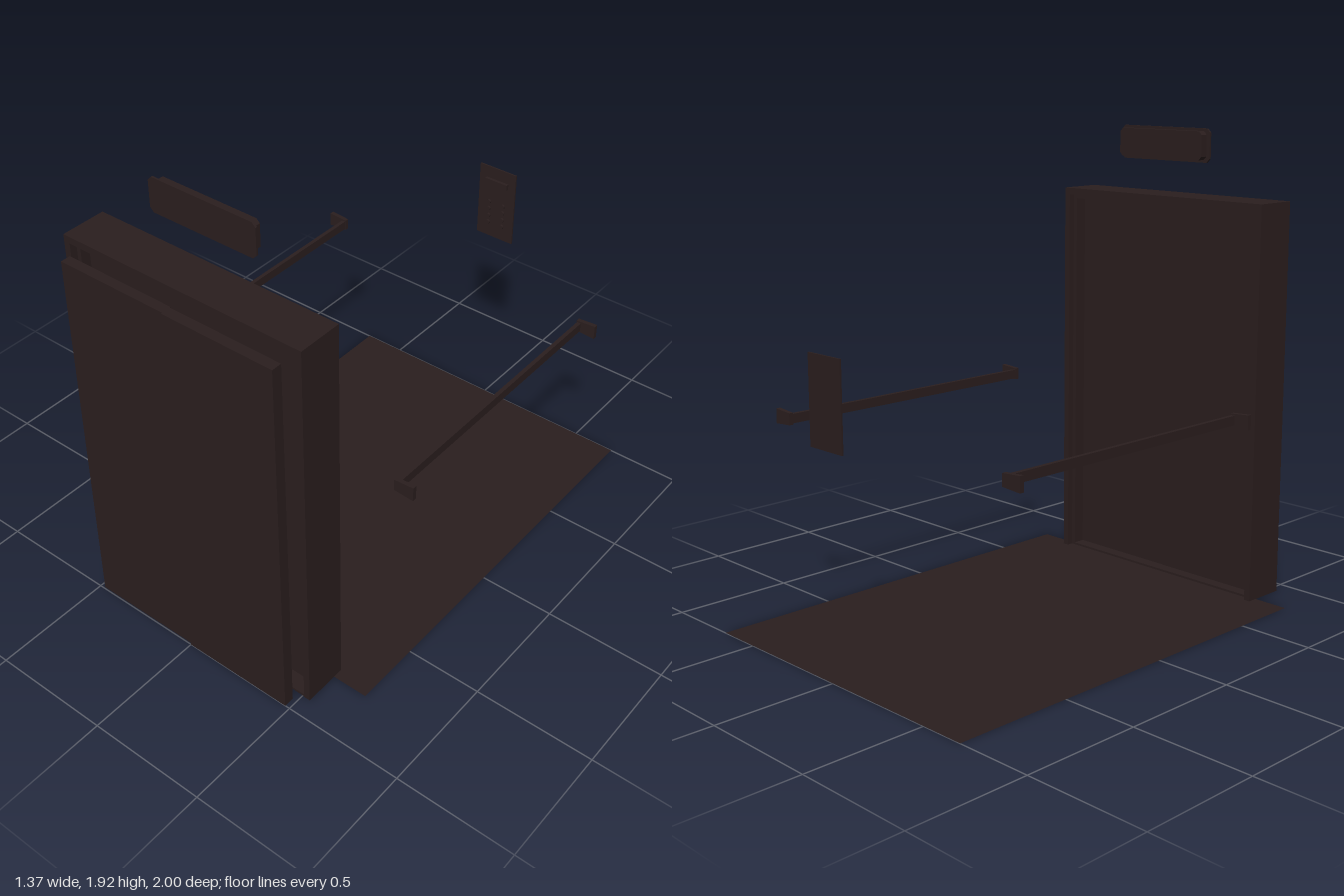
import * as THREE from 'three';

export function createModel() {
  const model = new THREE.Group();
  model.name = 'elevatorCabin';
  const dark = new THREE.MeshStandardMaterial({ color: 0x2a1e1e, side: THREE.DoubleSide });
  dark.name = 'dark brown';

  const add = (name, geo, parent = model) => {
    const mesh = new THREE.Mesh(geo, dark);
    mesh.name = name;
    parent.add(mesh);
    return mesh;
  };
  // box given by its limits on each axis
  const box = (name, x0, x1, y0, y1, z0, z1, parent) => {
    const m = add(name, new THREE.BoxGeometry(x1 - x0, y1 - y0, z1 - z0), parent);
    m.position.set((x0 + x1) / 2, (y0 + y1) / 2, (z0 + z1) / 2);
    return m;
  };
  const polygon = (pts) => new THREE.Shape(pts.map((p) => new THREE.Vector2(...p)));
  const extrude = (shape, depth) => new THREE.ExtrudeGeometry(shape, { depth, bevelEnabled: false });

  // floor sheet
  const floor = add('floor', new THREE.PlaneGeometry(1.37, 1.78).rotateX(-Math.PI / 2));
  floor.position.set(0, 0.001, -0.11);

  // door frame: outer casing, stepped inner lip and sill
  const arch = (name, w, h, iw, ih, z0, z1) => {
    const s = polygon([[-w, 0], [-iw, 0], [-iw, ih], [iw, ih], [iw, 0], [w, 0], [w, h], [-w, h]]);
    add(name, extrude(s, z1 - z0)).position.z = z0;
  };
  arch('frameCasing', 0.535, 1.638, 0.508, 1.61, 0.738, 0.924);
  arch('frameLip', 0.508, 1.61, 0.49, 1.592, 0.765, 0.895);
  box('sill', -0.508, 0.508, 0, 0.01, 0.765, 0.922);

  // inner door leaves closing the frame opening
  box('rightInnerDoor', -0.49, 0, 0.01, 1.592, 0.815, 0.855);
  box('leftInnerDoor', 0, 0.49, 0.01, 1.592, 0.817, 0.857);

  // outer sliding door leaves, slightly staggered
  box('rightOuterDoor', -0.48, 0, 0, 1.585, 0.953, 0.994);
  box('leftOuterDoor', 0, 0.48, 0, 1.585, 0.957, 1.0);

  // floor indicator above the doors: housing and chamfered face plate
  const indicator = new THREE.Group();
  indicator.name = 'indicator';
  model.add(indicator);
  const chamferRect = (w, h, c) => polygon([
    [-w + c, -h], [w - c, -h], [w, -h + c], [w, h - c], [w - c, h], [-w + c, h], [-w, h - c], [-w, -h + c],
  ]);
  add('indicatorHousing', extrude(chamferRect(0.22, 0.058, 0.014), 0.032), indicator).position.set(0, 1.85, 0.745);
  add('indicatorPlate', extrude(chamferRect(0.237, 0.069, 0.016), 0.008), indicator).position.set(0, 1.85, 0.777);

  // handrails with brackets that flare towards the walls
  for (const side of [1, -1]) {
    const rail = new THREE.Group();
    rail.name = side > 0 ? 'leftHandrail' : 'rightHandrail';
    model.add(rail);
    const xs = [0.603 * side, 0.62 * side].sort((a, b) => a - b);
    box('railBar', xs[0], xs[1], 0.807, 0.845, -0.715, 0.505, rail);
    const bracket = polygon([[0.6 * side, 0.803], [0.685 * side, 0.797], [0.685 * side, 0.857], [0.6 * side, 0.851]]);
    for (const z of [-0.725, 0.495]) add('railBracket', extrude(bracket, 0.018), rail).position.z = z;
  }

  // button panel at the back wall
  const panel = new THREE.Group();
  panel.name = 'controlPanel';
  model.add(panel);
  box('panelPlate', -0.09, 0.09, 0.863, 1.203, -1.0, -0.993, panel);
  box('panelDisplay', -0.055, 0.055, 1.125, 1.15, -0.993, -0.979, panel);
  for (const y of [0.932, 0.965, 1.0, 1.034]) {
    for (const x of [-0.035, 0.035]) {
      const b = add('button', new THREE.CylinderGeometry(0.01, 0.01, 0.008, 12).rotateX(Math.PI / 2), panel);
      b.position.set(x, y, -0.989);
    }
  }
  return model;
}
